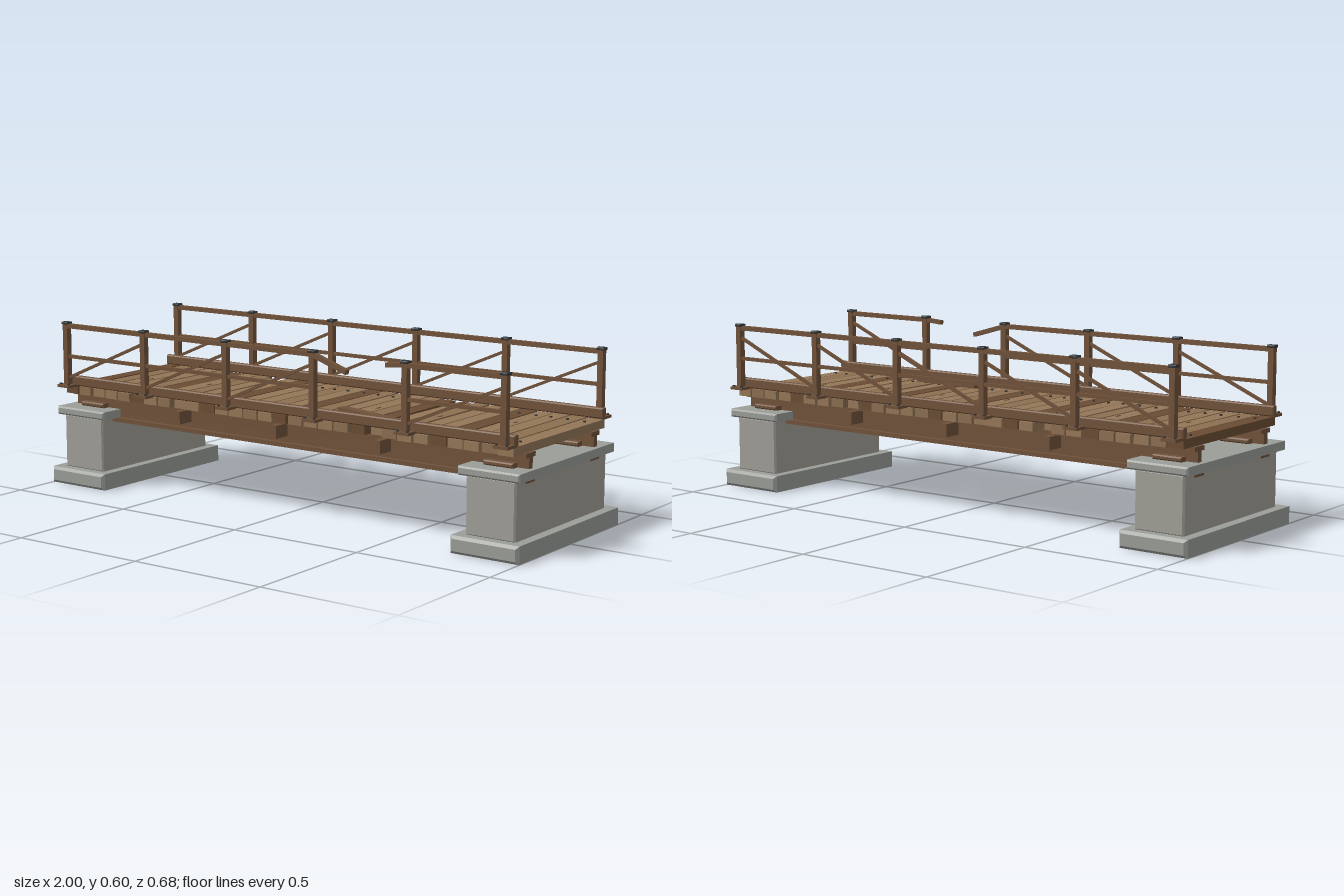
import * as THREE from 'three';

const mat = (name, color) => {
  const m = new THREE.MeshStandardMaterial({ color });
  m.name = name;
  return m;
};

export function createModel() {
  const M = {
    concrete: mat('concrete', 0xa19f97),
    cap: mat('concrete trim', 0x9b9d98),
    plank: mat('light plank wood', 0x957758),
    plankB: mat('weathered plank wood', 0x8c6f51),
    dark: mat('dark plank wood', 0x6b4c33),
    timber: mat('timber', 0x70523a),
    iron: mat('iron', 0x35383a),
  };
  const root = new THREE.Group();
  root.name = 'footbridge';
  const group = (name, parent = root) => {
    const g = new THREE.Group();
    g.name = name;
    parent.add(g);
    return g;
  };

  // Box centred at (x, y, z); a bevel cuts its edges
  function box(parent, name, m, w, h, d, x, y, z, bevel = 0) {
    let g;
    if (bevel) {
      const a = w / 2 - bevel, b = h / 2 - bevel;
      const s = new THREE.Shape();
      s.moveTo(-a, -b).lineTo(a, -b).lineTo(a, b).lineTo(-a, b).closePath();
      g = new THREE.ExtrudeGeometry(s, {
        depth: d - 2 * bevel, bevelEnabled: true, bevelSegments: 1,
        bevelSize: bevel, bevelThickness: bevel,
      });
      g.translate(0, 0, -d / 2 + bevel);
    } else g = new THREE.BoxGeometry(w, h, d);
    const mesh = new THREE.Mesh(g, m);
    mesh.name = name;
    mesh.position.set(x, y, z);
    parent.add(mesh);
    return mesh;
  }

  // Square bar running from a to b
  function bar(parent, name, m, a, b, h, d) {
    const p = new THREE.Vector3(...a), q = new THREE.Vector3(...b);
    const mesh = box(parent, name, m, p.distanceTo(q), h, d, 0, 0, 0);
    mesh.position.copy(p).add(q).multiplyScalar(0.5);
    mesh.quaternion.setFromUnitVectors(new THREE.Vector3(1, 0, 0), q.sub(p).normalize());
    return mesh;
  }

  let seed = 11;
  const rand = () => (seed = (seed * 16807) % 2147483647) / 2147483647;

  // Concrete piers with bearing blocks
  for (const s of [-1, 1]) {
    const g = group(s > 0 ? 'leftPier' : 'rightPier');
    box(g, 'footing', M.cap, 0.255, 0.06, 0.67, s * 0.8725, 0.03, 0, 0.01);
    box(g, 'shaft', M.concrete, 0.185, 0.2, 0.59, s * 0.8725, 0.157, 0, 0.006);
    box(g, 'pierCap', M.cap, 0.23, 0.03, 0.624, s * 0.8725, 0.27, 0, 0.006);
    for (const z of [-0.21, 0.21])
      box(g, 'bearingBlock', M.timber, 0.11, 0.016, 0.08, s * 0.87, 0.293, z, 0.004);
  }

  // Two I-section girders
  const frame = group('underframe');
  for (const z of [-0.21, 0.21]) {
    box(frame, 'lowerFlange', M.timber, 1.936, 0.015, 0.057, 0, 0.2475, z);
    box(frame, 'web', M.timber, 1.936, 0.068, 0.022, 0, 0.2885, z);
    box(frame, 'upperFlange', M.timber, 1.936, 0.015, 0.057, 0, 0.329, z);
  }
  // Cross beams and diagonal wind braces
  for (const x of [-0.43, 0, 0.43])
    box(frame, 'crossBeam', M.timber, 0.024, 0.045, 0.57, x, 0.2995, 0);
  for (let i = 0; i < 4; i++) {
    const x = -0.86 + i * 0.43;
    bar(frame, 'windBrace', M.iron, [x, 0.272, 0.2], [x + 0.43, 0.272, -0.2], 0.012, 0.012);
  }

  // Deck planks: every fifth is dark, a few are shifted or short
  const deck = group('deck');
  const odd = {
    8: { yaw: 0.022, len: 0.54, z: 0.022, w: 0.052 },
    20: { yaw: 0.018, len: 0.57, z: 0.004, w: 0.05 },
    21: { yaw: -0.01, len: 0.535, z: -0.006, w: 0.048 },
  };
  for (let i = 0; i < 30; i++) {
    const x = -0.928 + i * 0.064;
    const o = odd[i] || {};
    const m = i % 5 === 0 ? M.dark : i % 3 === 1 ? M.plankB : M.plank;
    const p = group('plankSet', deck);
    p.position.set(x, 0.351 - rand() * 0.002, 0);
    p.rotation.y = o.yaw ?? (rand() - 0.5) * 0.008;
    box(p, 'plank', m, o.w ?? 0.053 + rand() * 0.006, 0.03, o.len ?? 0.578 + rand() * 0.014,
      0, 0, o.z ?? (rand() - 0.5) * 0.006);
    for (const z of [-0.205, 0.205]) {
      const nail = new THREE.Mesh(new THREE.CylinderGeometry(0.005, 0.005, 0.006, 6), M.iron);
      nail.name = 'nail';
      nail.position.set((rand() - 0.5) * 0.015, 0.0165, z);
      p.add(nail);
    }
    if (i % 4 === 2)
      box(p, 'crack', M.dark, 0.006, 0.002, 0.025, 0.012, 0.0155, (rand() - 0.5) * 0.25);
  }

  // Loose board lying on the deck
  const loose = box(deck, 'looseBoard', M.timber, 0.325, 0.015, 0.036, 0.355, 0.3795, 0.19);
  loose.rotation.set(0, -0.19, -0.025);

  // Kerbs and railings; one bay of the front railing is broken
  const postX = [-0.93, -0.558, -0.186, 0.186, 0.558, 0.93];
  for (const s of [-1, 1]) {
    const g = group(s > 0 ? 'frontRailing' : 'backRailing');
    const z = s * 0.31;
    box(g, 'kerb', M.timber, 1.92, 0.036, 0.024, 0, 0.385, s * 0.285, 0.004);
    postX.forEach((x, i) => {
      box(g, 'postPlate', M.timber, 0.055, 0.01, 0.057, x, 0.368, s * 0.309);
      box(g, 'post', M.timber, 0.021, 0.225, 0.022, x, 0.483, z);
      box(g, 'postCap', M.iron, 0.03, 0.009, 0.028, x, 0.599, z, 0.002);
      for (const dx of [-0.019, 0.019])
        box(g, 'plateBolt', M.iron, 0.007, 0.006, 0.007, x + dx, 0.375, s * 0.328);
      if (i === 5) return;
      const x2 = postX[i + 1];
      if (s > 0 && i === 3) {
        bar(g, 'brokenRail', M.timber, [x, 0.589, z], [x + 0.155, 0.546, 0.331], 0.016, 0.018);
        bar(g, 'brokenRail', M.timber, [x2 - 0.075, 0.583, z + 0.002], [x2, 0.589, z], 0.015, 0.017);
        return;
      }
      bar(g, 'topRail', M.timber, [x, 0.589, z], [x2, 0.589, z], 0.016, 0.018);
      bar(g, 'midRail', M.timber, [x, 0.477, z], [x2, 0.477, z], 0.012, 0.012);
      bar(g, 'diagonalBrace', M.timber, [x, 0.395, z], [x2, 0.556, z], 0.01, 0.01);
    });
  }
  return root;
}
